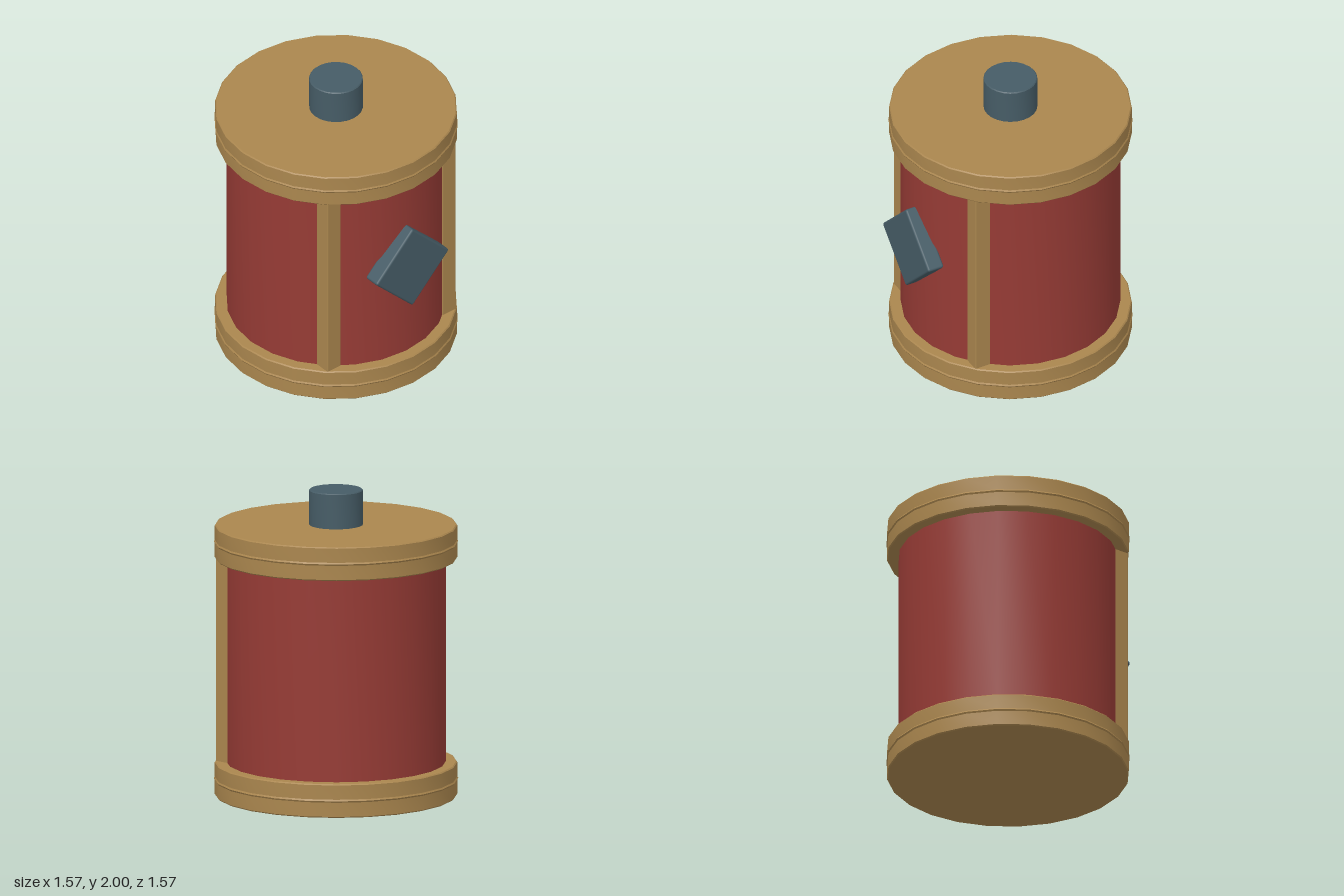
import * as THREE from 'three';
import { toCreasedNormals } from 'three/addons/utils/BufferGeometryUtils.js';
import { RoundedBoxGeometry } from 'three/addons/geometries/RoundedBoxGeometry.js';

const SIDES = 24;

function mat(name, color) {
  const m = new THREE.MeshStandardMaterial({ color });
  m.name = name;
  return m;
}

// Turned solid from [radius, height] pairs, listed bottom to top
function turned(profile) {
  const points = profile.map(([r, y]) => new THREE.Vector2(r, y));
  return toCreasedNormals(new THREE.LatheGeometry(points, SIDES), 0.45);
}

export function createModel() {
  const model = new THREE.Group();
  model.name = 'canister';
  const brass = mat('brass', 0xaa864e);
  const red = mat('red', 0x963b35);
  const slate = mat('slate', 0x465c66);

  function add(name, geometry, material, x = 0, y = 0, z = 0) {
    const mesh = new THREE.Mesh(geometry, material);
    mesh.name = name;
    mesh.position.set(x, y, z);
    model.add(mesh);
    return mesh;
  }

  // Drum
  add('body', turned([[0, 0.2], [0.705, 0.2], [0.705, 1.57], [0, 1.57]]), red);

  // End caps with a small bevel and a fine ridge around the middle
  const cap = turned([
    [0, 0], [0.772, 0], [0.779, 0.007], [0.779, 0.1], [0.785, 0.11],
    [0.779, 0.12], [0.779, 0.213], [0.772, 0.22], [0, 0.22],
  ]);
  add('bottomCap', cap, brass);
  add('topCap', cap, brass, 0, 1.55, 0);

  // Terminal on top
  add('terminal', turned([
    [0, 1.76], [0.173, 1.76], [0.173, 1.994], [0.167, 2], [0, 2],
  ]), slate);

  // Two upright strips on the front corners
  for (const side of [-1, 1]) {
    add(side < 0 ? 'rightStrip' : 'leftStrip',
      new RoundedBoxGeometry(0.112, 1.36, 0.112, 2, 0.008), brass, side * 0.479, 0.885, 0.505);
  }

  // Diamond plaque on the front
  const plaque = add('plaque',
    new RoundedBoxGeometry(0.43, 0.43, 0.115, 2, 0.014), slate, 0, 0.922, 0.718);
  plaque.rotation.z = Math.PI / 4;

  return model;
}
